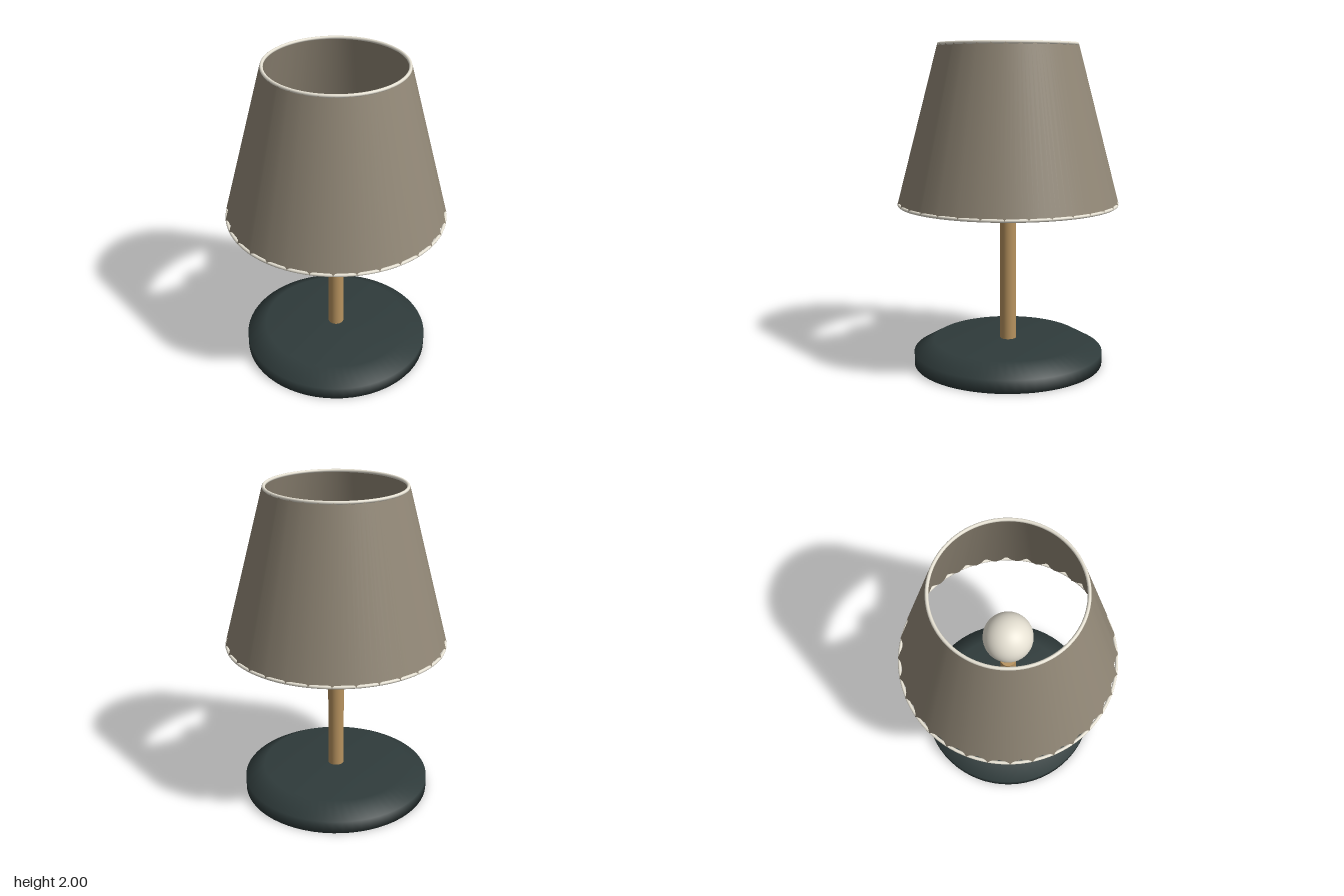
import * as THREE from 'three';

const mat = (name, color, side = THREE.FrontSide) =>
  Object.assign(new THREE.MeshStandardMaterial({ color, side }), { name });

export function createModel() {
  const lamp = new THREE.Group();
  lamp.name = 'tableLamp';
  const darkGreen = mat('dark green', 0x2f3b3b);
  const wood = mat('wood', 0xb8935f);
  const linen = mat('linen', 0x928877, THREE.DoubleSide);
  const cream = mat('cream', 0xe6e1d3);

  const add = (name, geometry, material, y = 0) => {
    const mesh = new THREE.Mesh(geometry, material);
    mesh.name = name;
    mesh.position.y = y;
    lamp.add(mesh);
    return mesh;
  };

  // Heavy round foot with a sloped rim
  const profile = [[0, 0], [0.595, 0], [0.595, 0.08], [0.47, 0.15], [0, 0.15]];
  add('base', new THREE.LatheGeometry(profile.map(([r, y]) => new THREE.Vector2(r, y)), 64), darkGreen);

  // Stem
  add('stem', new THREE.CylinderGeometry(0.05, 0.05, 0.84, 32), wood, 0.56);

  // Bulb
  add('bulb', new THREE.SphereGeometry(0.15, 40, 24), cream, 1.35);

  // Pleated shade: 32 shallow scallops, softly shaded as a plain cone
  const pleats = 32;
  const shade = new THREE.CylinderGeometry(0.43, 0.685, 0.97, pleats * 4, 1, true);
  const p = shade.attributes.position;
  for (let i = 0; i < p.count; i++) {
    const angle = Math.atan2(p.getX(i), p.getZ(i));
    const k = 1 - 0.038 * Math.abs(Math.cos(angle * pleats / 2));
    p.setXYZ(i, p.getX(i) * k, p.getY(i), p.getZ(i) * k);
  }
  add('shade', shade, linen, 1.505);

  // Trim rings at both rims of the shade
  for (const [name, radius, y] of [['topTrim', 0.42, 1.99], ['bottomTrim', 0.674, 1.02]]) {
    add(name, new THREE.TorusGeometry(radius, 0.01, 10, 96).rotateX(Math.PI / 2), cream, y);
  }
  return lamp;
}
